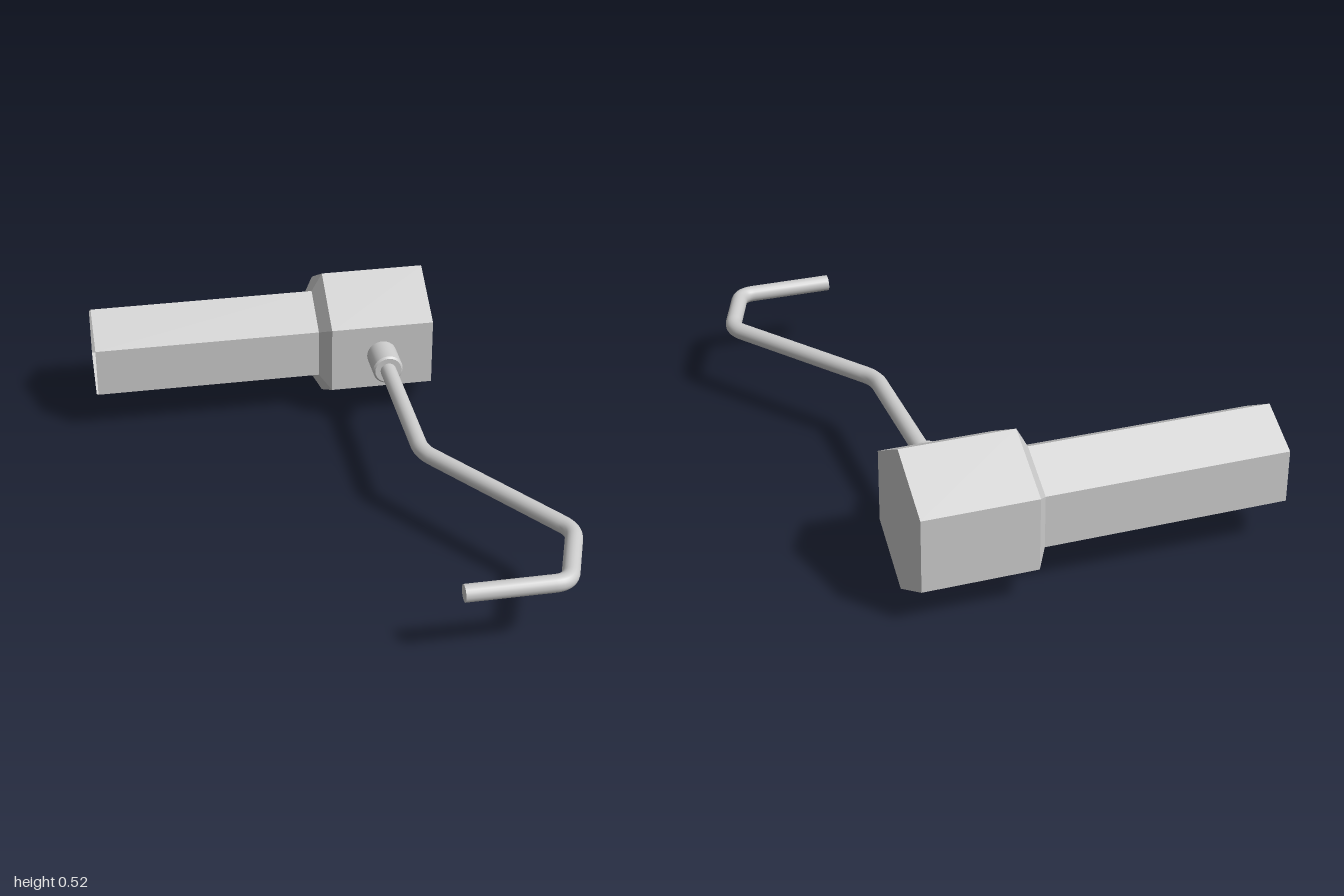
import * as THREE from 'three';

const grey = { color: 0xcccccc };
const smooth = new THREE.MeshStandardMaterial(grey);
const faceted = new THREE.MeshStandardMaterial({ ...grey, flatShading: true, side: THREE.DoubleSide });
const v2 = (x, y) => new THREE.Vector2(x, y);
const v3 = (x, y, z) => new THREE.Vector3(x, y, z);

// Straight runs joined by small rounded bends
function bentPath(points, trim) {
  const path = new THREE.CurvePath();
  let from = points[0];
  for (let i = 1; i < points.length - 1; i++) {
    const p = points[i];
    const a = p.clone().add(points[i - 1].clone().sub(p).setLength(trim));
    const b = p.clone().add(points[i + 1].clone().sub(p).setLength(trim));
    path.add(new THREE.LineCurve3(from, a));
    path.add(new THREE.QuadraticBezierCurve3(a, p, b));
    from = b;
  }
  path.add(new THREE.LineCurve3(from, points[points.length - 1]));
  return path;
}

export function createModel() {
  const model = new THREE.Group();
  const add = (name, geometry, material) => {
    const mesh = new THREE.Mesh(geometry, material);
    mesh.name = name;
    model.add(mesh);
    return mesh;
  };

  // Hexagonal shell: open handle end, shoulder, wider closed head
  const profile = [v2(0.187, -0.75), v2(0.187, 0.1), v2(0.259, 0.14), v2(0.259, 0.53), v2(0, 0.53)];
  const shell = new THREE.LatheGeometry(profile, 6, Math.PI / 2);
  shell.rotateZ(-Math.PI / 2);
  add('hexagonalBody', shell, faceted).position.set(0, 0.26, -0.777);

  // Collar with a small chamfer, each profile run kept crisp
  const collar = new THREE.Group();
  collar.name = 'collar';
  const runs = [
    ['collarSide', [v2(0.057, -0.57), v2(0.057, -0.437)]],
    ['collarChamfer', [v2(0.057, -0.437), v2(0.05, -0.43)]],
    ['collarFace', [v2(0.05, -0.43), v2(0, -0.43)]],
  ];
  for (const [name, pts] of runs) {
    const part = new THREE.Mesh(new THREE.LatheGeometry(pts, 32), smooth);
    part.name = name;
    part.geometry.rotateX(Math.PI / 2);
    collar.add(part);
  }
  collar.position.set(0.333, 0.269, 0);
  model.add(collar);

  // Bent wire hook lying in a horizontal plane
  const y = 0.269, r = 0.03;
  const path = bentPath([
    v3(0.333, y, -0.45), v3(0.333, y, 0.14), v3(0.727, y, 0.70), v3(0.633, y, 0.97), v3(0.285, y, 0.97),
  ], 0.05);
  add('hookRod', new THREE.TubeGeometry(path, 160, r, 20), smooth);

  // Flat cap on the free end
  const cap = add('hookEndCap', new THREE.CircleGeometry(r, 20), smooth);
  cap.rotation.y = -Math.PI / 2;
  cap.position.set(0.285, y, 0.97);

  return model;
}
